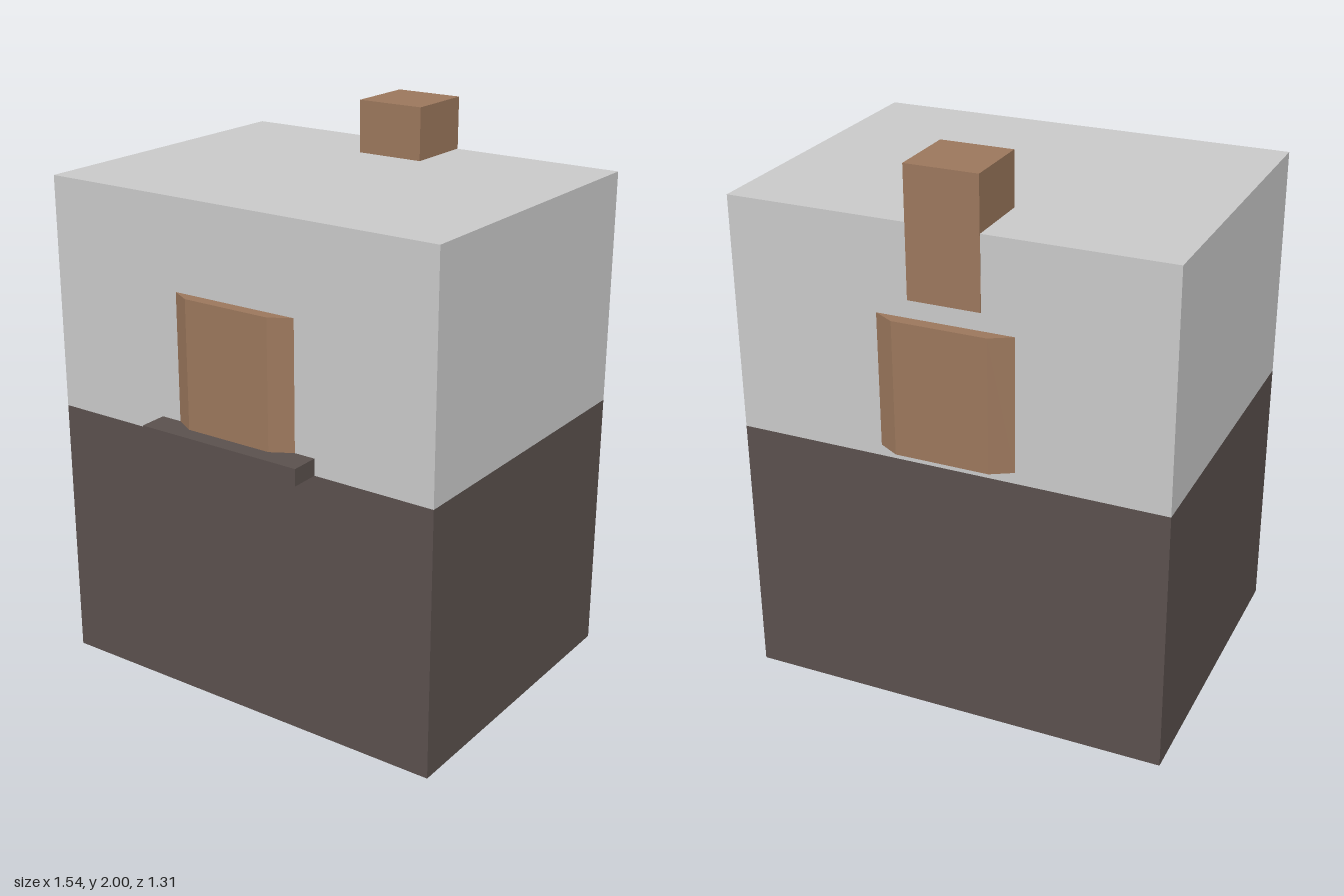
import * as THREE from 'three';

const material = (name, color) => {
  const m = new THREE.MeshStandardMaterial({ color });
  m.name = name;
  return m;
};

export function createModel() {
  const model = new THREE.Group();
  model.name = 'house';
  const plaster = material('light grey plaster', 0xc9c9c9);
  const stone = material('dark stone', 0x5a504d);
  const wood = material('brown wood', 0x9b775c);

  const add = (name, geometry, mat) => {
    const mesh = new THREE.Mesh(geometry, mat);
    mesh.name = name;
    model.add(mesh);
    return mesh;
  };

  // Box given by its half width and its extents in y and z
  const box = (name, halfX, y0, y1, z0, z1, mat) => {
    const mesh = add(name, new THREE.BoxGeometry(halfX * 2, y1 - y0, z1 - z0), mat);
    mesh.position.set(0, (y0 + y1) / 2, (z0 + z1) / 2);
    return mesh;
  };

  // Walls: dark lower storey, light upper storey
  box('lowerWalls', 0.772, 0, 0.97, -0.612, 0.548, stone);
  box('upperWalls', 0.772, 0.97, 1.81, -0.612, 0.548, plaster);

  // Chimney, running a little way down the back wall
  box('chimney', 0.128, 1.55, 2, -0.614, -0.355, wood);

  // Ledge under the front shutter
  box('frontLedge', 0.32, 0.97, 1.03, 0.54, 0.652, stone);

  // Shutters with bevelled sides, on the front and back walls
  const outline = new THREE.Shape([
    new THREE.Vector2(-0.242, 0),
    new THREE.Vector2(0.242, 0),
    new THREE.Vector2(0.167, 0.043),
    new THREE.Vector2(-0.167, 0.043),
  ]);
  const bottom = 1.01, top = 1.488;
  const shutter = new THREE.ExtrudeGeometry(outline, { depth: top - bottom, bevelEnabled: false });
  shutter.rotateX(Math.PI / 2); // the outline now lies flat and hangs down from y = 0

  add('frontShutter', shutter, wood).position.set(0, top, 0.548);
  const back = add('backShutter', shutter, wood);
  back.position.set(0, top, -0.612);
  back.rotation.y = Math.PI;

  return model;
}
